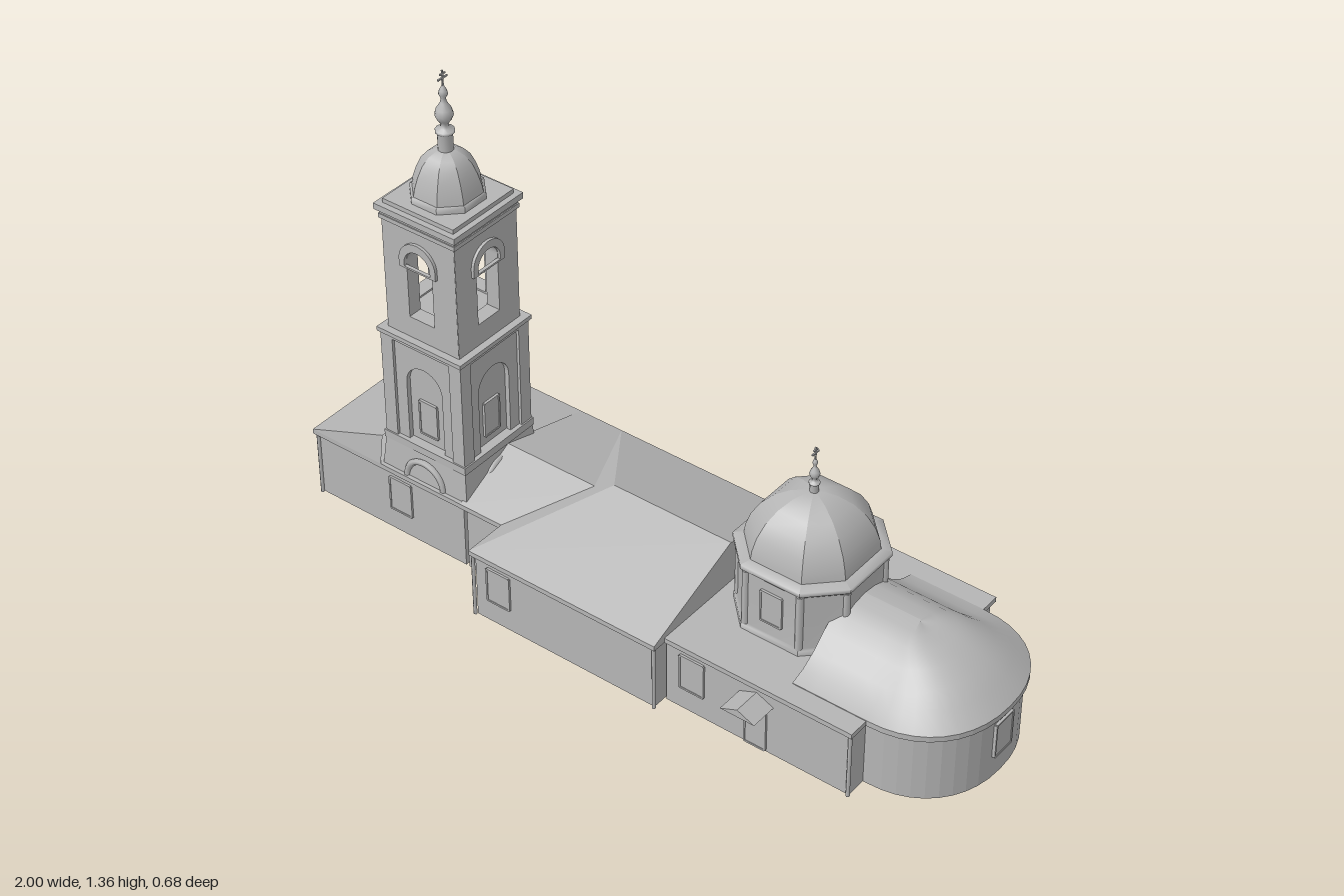
import * as THREE from 'three';

const stone = new THREE.MeshStandardMaterial({ color: 0xb5b5b5, side: THREE.DoubleSide });
stone.name = 'grey stone';

function add(parent, name, geo, x = 0, y = 0, z = 0, ry = 0) {
  const m = new THREE.Mesh(geo, stone);
  m.name = name;
  m.position.set(x, y, z);
  m.rotation.y = ry;
  parent.add(m);
  return m;
}

// Box given by its limits
function block(parent, name, x0, x1, y0, y1, z0, z1) {
  return add(parent, name, new THREE.BoxGeometry(x1 - x0, y1 - y0, z1 - z0),
    (x0 + x1) / 2, (y0 + y1) / 2, (z0 + z1) / 2);
}

// Flat faces (triangles or quads) from corner points
function faces(parent, name, list) {
  const pos = [];
  for (const f of list)
    for (let i = 1; i < f.length - 1; i++) pos.push(...f[0], ...f[i], ...f[i + 1]);
  const g = new THREE.BufferGeometry();
  g.setAttribute('position', new THREE.Float32BufferAttribute(pos, 3));
  g.computeVertexNormals();
  return add(parent, name, g);
}

// Smooth sheet through rows of equally many points
function sheet(rows) {
  const n = rows[0].length, idx = [];
  for (let i = 0; i < rows.length - 1; i++)
    for (let j = 0; j < n - 1; j++) {
      const a = i * n + j, b = a + n;
      idx.push(a, b, a + 1, a + 1, b, b + 1);
    }
  const g = new THREE.BufferGeometry();
  g.setAttribute('position', new THREE.Float32BufferAttribute(rows.flat(2), 3));
  g.setIndex(idx);
  g.computeVertexNormals();
  return g;
}

// Eight-sided tower or dome from a [half width, y] profile, sharp at the ribs
function octagon(parent, name, x, z, ratio, profile) {
  const group = new THREE.Group();
  group.name = name;
  group.position.set(x, 0, z);
  const corners = [[1, -ratio], [1, ratio], [ratio, 1], [-ratio, 1], [-1, ratio], [-1, -ratio], [-ratio, -1], [ratio, -1]];
  corners.forEach((a, i) => {
    const b = corners[(i + 1) % 8];
    add(group, name + 'Side', sheet([b, a].map(c => profile.map(([r, y]) => [c[0] * r, y, c[1] * r]).reverse())));
  });
  parent.add(group);
}

function archPath(path, hw, y0, y1) {
  path.moveTo(-hw, y0);
  path.lineTo(hw, y0);
  path.lineTo(hw, y1 - hw);
  path.absarc(0, y1 - hw, hw, 0, Math.PI, false);
  path.lineTo(-hw, y0);
  return path;
}

// Four walls with an arched opening in each
function archedWalls(parent, name, x, z, half, y0, y1, arch, depth) {
  for (let i = 0; i < 4; i++) {
    const w = half - 0.001;
    const s = new THREE.Shape();
    s.moveTo(-w, y0); s.lineTo(w, y0); s.lineTo(w, y1); s.lineTo(-w, y1);
    s.holes.push(archPath(new THREE.Path(), ...arch));
    const g = new THREE.ExtrudeGeometry(s, { depth, bevelEnabled: false, curveSegments: 12 });
    g.translate(0, 0, half - depth);
    add(parent, name, g, x, 0, z, i * Math.PI / 2);
  }
}

// Framed window plate facing the given direction
function windowPlate(parent, name, x, y, z, w, h, ry = 0) {
  const g = new THREE.Group();
  g.name = name;
  g.position.set(x, y, z);
  g.rotation.y = ry;
  add(g, 'pane', new THREE.BoxGeometry(w, h, 0.006));
  for (const s of [-1, 1]) {
    add(g, 'jamb', new THREE.BoxGeometry(0.005, h, 0.01), s * w / 2);
    add(g, 'rail', new THREE.BoxGeometry(w, 0.005, 0.01), 0, s * h / 2);
  }
  parent.add(g);
}

// Spire: post, bulb and cross
function finial(parent, x, z, y, k, cross) {
  const p = [[0.02, 0], [0.02, 0.05], [0.025, 0.055], [0.025, 0.062], [0.012, 0.066], [0.009, 0.078], [0.018, 0.09], [0.024, 0.105],
    [0.02, 0.12], [0.009, 0.138], [0.006, 0.15], [0.012, 0.162], [0.01, 0.172], [0.003, 0.185], [0.001, 0.19]];
  add(parent, 'finial', new THREE.LatheGeometry(p.map(([r, h]) => new THREE.Vector2(r * k, h * k)), 12), x, y, z);
  const top = y + 0.185 * k;
  block(parent, 'crossPost', x - 0.002, x + 0.002, top - 0.01, top + cross, z - 0.002, z + 0.002);
  for (const [h, w] of [[0.45, 0.4], [0.72, 0.22]])
    block(parent, 'crossBar', x - 0.002, x + 0.002, top + cross * h, top + cross * h + 0.004, z - cross * w, z + cross * w);
}

// Apse outline: [rim x, rim z, spine x, roundness]
function apseRim(grow) {
  const c = -0.035, out = [];
  const hz = 0.235 + grow, hx = 0.225 + grow, cx = 0.76;
  for (let i = 0; i <= 4; i++) out.push([0.55 + i * 0.0525, c + hz, 0.55 + i * 0.047, 0]);
  for (let i = 1; i <= 20; i++) {
    const a = Math.PI / 2 - i * Math.PI / 20, q = Math.cos(a), s = Math.sin(a);
    out.push([cx + hx * Math.pow(Math.max(q, 0), 0.9), c + hz * Math.sign(s) * Math.pow(Math.abs(s), 0.9), 0.738, Math.max(q, 0)]);
  }
  for (let i = 3; i >= 0; i--) out.push([0.55 + i * 0.0525, c - hz, 0.55 + i * 0.047, 0]);
  return out;
}

function slabFromRim(rim, y0, y1) {
  const s = new THREE.Shape(rim.map(([x, z]) => new THREE.Vector2(x, -z)));
  const g = new THREE.ExtrudeGeometry(s, { depth: y1 - y0, bevelEnabled: false });
  g.rotateX(-Math.PI / 2);
  g.translate(0, y0, 0);
  return g;
}

export function createModel() {
  const root = new THREE.Group();
  root.name = 'church';

  // Walls and eaves of the rectangular parts
  const plan = [
    ['westPorch', -1, -0.49, -0.13, 0.185], ['sideAnnex', -0.87, -0.48, -0.3, -0.12],
    ['link', -0.5, -0.3, -0.3, 0.185], ['nave', -0.365, 0.215, -0.3, 0.31], ['sanctuary', 0.2, 0.76, -0.34, 0.27]];
  for (const [n, x0, x1, z0, z1] of plan) {
    block(root, n + 'Walls', x0 + 0.012, x1 - 0.008, 0, 0.195, z0 + 0.012, z1 - 0.012);
    block(root, n + 'Eaves', x0, x1, 0.192, 0.206, z0, z1);
  }

  // Roofs
  faces(root, 'westRoof', [
    [[-1, 0.206, 0.185], [-0.765, 0.29, 0.172], [-0.765, 0.29, -0.105], [-1, 0.206, -0.13]],
    [[-1, 0.206, 0.185], [-0.765, 0.206, 0.185], [-0.765, 0.29, 0.172]],
    [[-1, 0.206, -0.13], [-0.765, 0.29, -0.105], [-0.765, 0.206, -0.13]]]);
  faces(root, 'annexRoof', [
    [[-0.87, 0.206, -0.3], [-0.87, 0.245, -0.12], [-0.48, 0.245, -0.12], [-0.48, 0.206, -0.3]],
    [[-0.87, 0.206, -0.3], [-0.87, 0.206, -0.12], [-0.87, 0.245, -0.12]]]);
  faces(root, 'linkRoof', [
    [[-0.5, 0.206, 0.185], [-0.18, 0.206, 0.185], [-0.18, 0.288, 0], [-0.5, 0.288, 0]],
    [[-0.5, 0.206, -0.3], [-0.5, 0.288, 0], [-0.18, 0.288, 0], [-0.18, 0.206, -0.3]],
    [[-0.5, 0.206, 0.185], [-0.5, 0.288, 0], [-0.5, 0.206, -0.3]]]);
  faces(root, 'naveRoof', [
    [[-0.365, 0.206, 0.31], [0.215, 0.206, 0.31], [0.21, 0.322, 0], [-0.15, 0.322, 0]],
    [[-0.365, 0.206, -0.3], [-0.15, 0.322, 0], [0.21, 0.322, 0], [0.215, 0.206, -0.3]],
    [[-0.365, 0.206, 0.31], [-0.15, 0.322, 0], [-0.365, 0.206, -0.3]],
    [[0.215, 0.206, 0.31], [0.215, 0.206, -0.3], [0.21, 0.322, 0]]]);

  // Apse with its swelling roof
  add(root, 'apseWalls', slabFromRim(apseRim(0), 0, 0.195));
  const rim = apseRim(0.012);
  add(root, 'apseEaves', slabFromRim(rim, 0.192, 0.208));
  const side = [0.208, 0.222, 0.248, 0.285, 0.315, 0.33, 0.335], end = [0.208, 0.25, 0.28, 0.303, 0.318, 0.325, 0.328];
  add(root, 'apseRoof', sheet(rim.map(([x, z, sx, q]) => side.map((h, i) => {
    const t = i / 6;
    return [x + (sx - x) * t, h + (end[i] - h) * q, z + (-0.035 - z) * t];
  }))));

  // Cupola over the sanctuary
  const cx = 0.42, cz = -0.04;
  octagon(root, 'drum', cx, cz, 0.5, [[0.168, 0.2], [0.168, 0.22], [0.16, 0.222], [0.16, 0.385]]);
  octagon(root, 'drumCornice', cx, cz, 0.5, [[0.158, 0.38], [0.165, 0.385], [0.172, 0.393], [0.172, 0.405], [0.145, 0.412], [0, 0.414]]);
  octagon(root, 'cupolaDome', cx, cz, 0.5, [[0.148, 0.41], [0.145, 0.435], [0.134, 0.47], [0.114, 0.505], [0.085, 0.535], [0.05, 0.555], [0.022, 0.562], [0, 0.563]]);
  finial(root, cx, cz, 0.555, 0.56, 0.033);
  for (const s of [-1, 1]) windowPlate(root, 'drumWindow', cx, 0.305, cz + s * 0.161, 0.06, 0.09);
  for (const [a, b] of [[1, 0.5], [0.5, 1]])
    for (const i of [-1, 1]) for (const j of [-1, 1])
      add(root, 'drumPilaster', new THREE.CylinderGeometry(0.01, 0.01, 0.165, 6), cx + i * a * 0.157, 0.3, cz + j * b * 0.157);

  // Bell tower: base and lower stage
  const tx = -0.625, tz = 0.035;
  const sq = (n, h, y0, y1) => block(root, n, tx - h, tx + h, y0, y1, tz - h, tz + h);
  const base = new THREE.CylinderGeometry(0.131 * Math.SQRT2, 0.14 * Math.SQRT2, 0.1, 4, 1);
  base.rotateY(Math.PI / 4);
  add(root, 'towerBase', base.toNonIndexed(), tx, 0.245, tz).geometry.computeVertexNormals();
  sq('lowerCore', 0.108, 0.25, 0.62);
  archedWalls(root, 'lowerWall', tx, tz, 0.122, 0.29, 0.625, [0.058, 0.31, 0.55], 0.013);
  sq('lowerPlinth', 0.134, 0.29, 0.312);
  sq('lowerCornice', 0.13, 0.61, 0.622);
  sq('lowerCorniceTop', 0.136, 0.622, 0.634);
  for (const i of [-1, 1]) for (const j of [-1, 1]) {
    const px = tx + i * 0.111, pz = tz + j * 0.111;
    block(root, 'towerPilaster', px - 0.019, px + 0.019, 0.3, 0.615, pz - 0.019, pz + 0.019);
  }
  for (let i = 0; i < 4; i++) {
    const a = i * Math.PI / 2, s = Math.sin(a), c = Math.cos(a);
    windowPlate(root, 'towerWindow', tx + s * 0.11, 0.39, tz + c * 0.11, 0.055, 0.1, a);
    // Arched gable at the foot and surround of the bell opening
    const foot = new THREE.TorusGeometry(0.06, 0.009, 6, 16, Math.PI);
    add(root, 'footArch', foot, tx + s * 0.137, 0.206, tz + c * 0.137, a);
    const trim = archPath(new THREE.Shape(), 0.058, 0.845, 0.925);
    trim.holes.push(archPath(new THREE.Path(), 0.041, 0.85, 0.902));
    const tg = new THREE.ExtrudeGeometry(trim, { depth: 0.01, bevelEnabled: false });
    add(root, 'bellArchTrim', tg, tx + s * 0.114, 0, tz + c * 0.114, a);
  }

  // Bell stage, cornice and dome
  archedWalls(root, 'bellWall', tx, tz, 0.116, 0.63, 0.975, [0.04, 0.695, 0.9], 0.04);
  sq('bellFloor', 0.112, 0.634, 0.69);
  sq('bellCeiling', 0.112, 0.93, 0.97);
  sq('corniceLow', 0.121, 0.958, 0.97);
  sq('corniceMiddle', 0.118, 0.97, 0.983);
  sq('corniceTop', 0.128, 0.983, 1.0);
  sq('domeStep', 0.112, 1.0, 1.012);
  octagon(root, 'towerDomeFoot', tx, tz, 0.45, [[0.088, 1.01], [0.088, 1.028], [0.08, 1.03]]);
  octagon(root, 'towerDome', tx, tz, 0.45, [[0.083, 1.025], [0.079, 1.05], [0.07, 1.08], [0.058, 1.108], [0.042, 1.128], [0.022, 1.14], [0, 1.141]]);
  finial(root, tx, tz, 1.135, 0.98, 0.042);

  // Side door with gabled canopy
  windowPlate(root, 'sideDoor', 0.48, 0.075, 0.259, 0.06, 0.14);
  faces(root, 'canopy', [
    [[0.43, 0.15, 0.25], [0.43, 0.15, 0.335], [0.48, 0.172, 0.335], [0.48, 0.172, 0.25]],
    [[0.53, 0.15, 0.25], [0.48, 0.172, 0.25], [0.48, 0.172, 0.335], [0.53, 0.15, 0.335]],
    [[0.43, 0.15, 0.335], [0.53, 0.15, 0.335], [0.48, 0.172, 0.335]],
    [[0.43, 0.15, 0.25], [0.53, 0.15, 0.25], [0.53, 0.15, 0.335], [0.43, 0.15, 0.335]]]);

  // Windows: x, y, z, facing
  const H = Math.PI / 2;
  for (const [x, z, a] of [[-0.71, 0.174, 0], [-0.28, 0.299, 0], [0.29, 0.259, 0], [-0.82, -0.289, 0],
    [-0.989, 0.04, H], [0.986, -0.03, H]])
    windowPlate(root, 'window', x, 0.118, z, 0.07, 0.1, a);

  // Downpipes at the corners
  for (const [x, z] of [[-0.99, 0.177], [-0.99, -0.122], [-0.86, -0.292], [-0.358, 0.302], [0.208, 0.302], [0.208, -0.292], [0.752, 0.262]])
    add(root, 'downpipe', new THREE.CylinderGeometry(0.005, 0.005, 0.2, 6), x, 0.1, z);

  return root;
}
